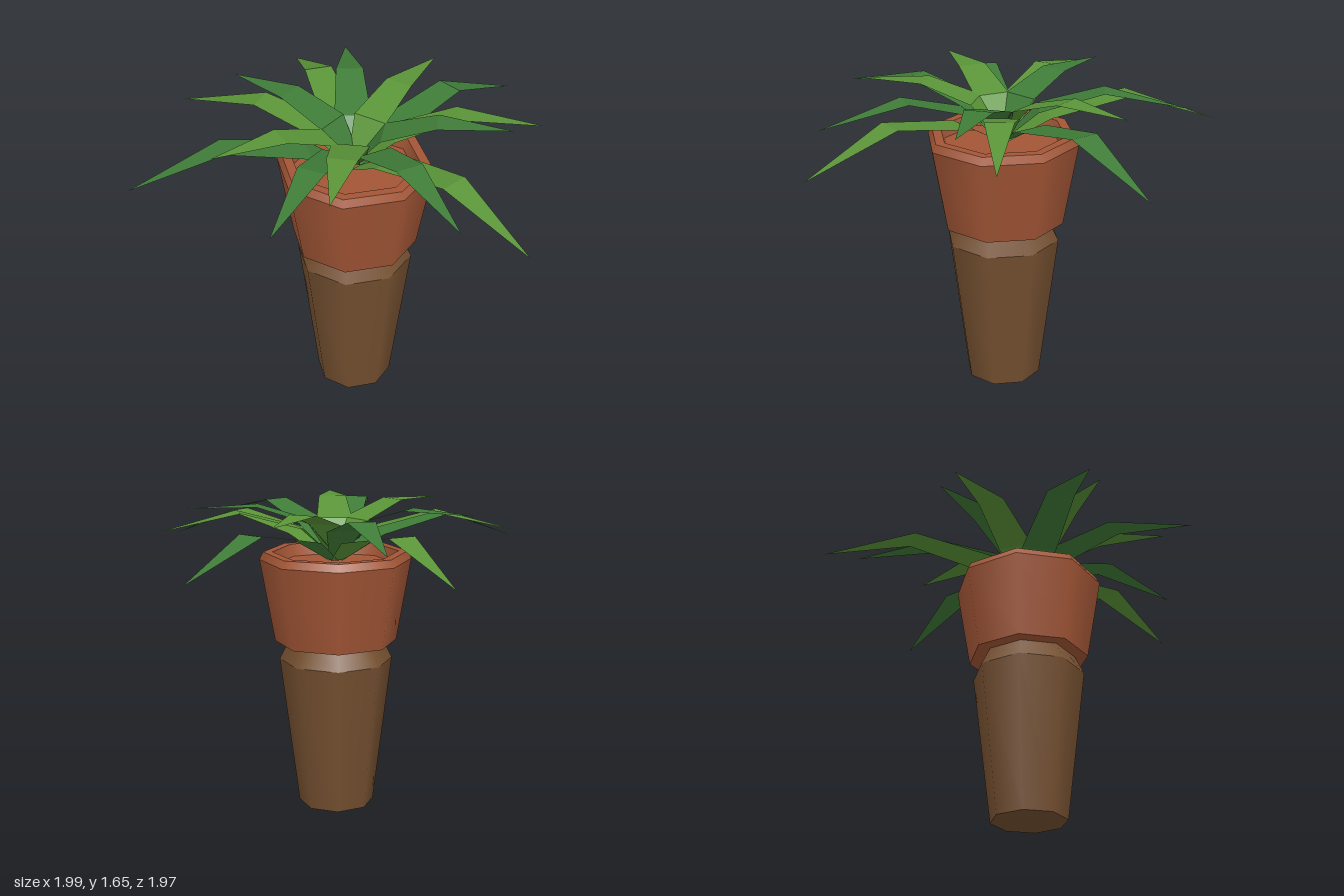
import * as THREE from 'three';
import { mergeGeometries } from 'three/addons/utils/BufferGeometryUtils.js';

const CENTRE = 0.05; // the pot axis sits slightly off the middle of the foliage

// Eight-sided turned body; every band has its own normals so its rims stay crisp
function turned(name, color, profile) {
  const bands = [];
  for (let i = 0; i < profile.length - 1; i++) {
    const pair = [profile[i], profile[i + 1]].map(([r, y]) => new THREE.Vector2(r, y));
    bands.push(new THREE.LatheGeometry(pair, 8));
  }
  const mesh = new THREE.Mesh(mergeGeometries(bands), new THREE.MeshStandardMaterial({ color }));
  mesh.name = name;
  return mesh;
}

// Flat folded blade along +x; sections are [radius, height, half width]
function leafGeometry(sections) {
  const positions = [];
  const index = [];
  sections.forEach(([r, y, w], i) => {
    positions.push(r, y, -w, r, y, w);
    if (i === 0) return;
    const a = 2 * (i - 1);
    index.push(a, a + 1, a + 2);
    if (w > 0) index.push(a + 1, a + 3, a + 2);
  });
  const geometry = new THREE.BufferGeometry();
  geometry.setAttribute('position', new THREE.Float32BufferAttribute(positions, 3));
  geometry.setIndex(index);
  geometry.computeVertexNormals();
  return geometry;
}

const DARK = 0x3f7c38;
const LIGHT = 0x5a9438;

// Three tiers of leaves; each leaf is [angle in degrees from +x towards +z, color]
const TIERS = [
  {
    name: 'lowerLeaf',
    sections: [[0.02, 1.36, 0.04], [0.24, 1.49, 0.095], [0.67, 1.575, 0.075], [1.15, 1.4, 0]],
    leaves: [[38.4, LIGHT], [156, DARK], [-115.7, LIGHT], [-50, DARK]],
  },
  {
    name: 'middleLeaf',
    sections: [[0.02, 1.38, 0.04], [0.19, 1.54, 0.095], [0.52, 1.635, 0.072], [0.965, 1.54, 0]],
    leaves: [[52.6, DARK], [104.5, DARK], [193.3, LIGHT], [258.4, DARK], [-13.5, LIGHT]],
  },
  {
    name: 'upperLeaf',
    sections: [[0.01, 1.4, 0.045], [0.14, 1.565, 0.095], [0.41, 1.65, 0.075], [0.78, 1.635, 0]],
    leaves: [[0.7, DARK], [90, LIGHT], [142, LIGHT], [207.2, DARK], [-64.7, LIGHT]],
  },
];

export function createModel() {
  const model = new THREE.Group();
  model.name = 'pottedPlant';
  const plant = new THREE.Group();
  plant.name = 'plantAndPot';
  plant.position.set(CENTRE, 0, CENTRE);
  model.add(plant);

  // Tapered wooden stand with a chamfered shoulder
  plant.add(turned('stand', 0x755030, [
    [0, 0], [0.205, 0], [0.305, 0.82], [0.25, 0.93],
  ]));

  // Clay pot with a bevelled rim and a shallow recess
  plant.add(turned('pot', 0xa35636, [
    [0, 0.92], [0.328, 0.92], [0.405, 1.365], [0.385, 1.405],
    [0.335, 1.405], [0.315, 1.34], [0, 1.34],
  ]));

  // Rosette of leaves
  const foliage = new THREE.Group();
  foliage.name = 'foliage';
  plant.add(foliage);
  for (const { name, sections, leaves } of TIERS) {
    const geometry = leafGeometry(sections);
    for (const [degrees, color] of leaves) {
      const leaf = new THREE.Mesh(geometry, new THREE.MeshStandardMaterial({
        color, flatShading: true, side: THREE.DoubleSide,
      }));
      leaf.name = name;
      leaf.rotation.y = -THREE.MathUtils.degToRad(degrees);
      foliage.add(leaf);
    }
  }
  return model;
}
